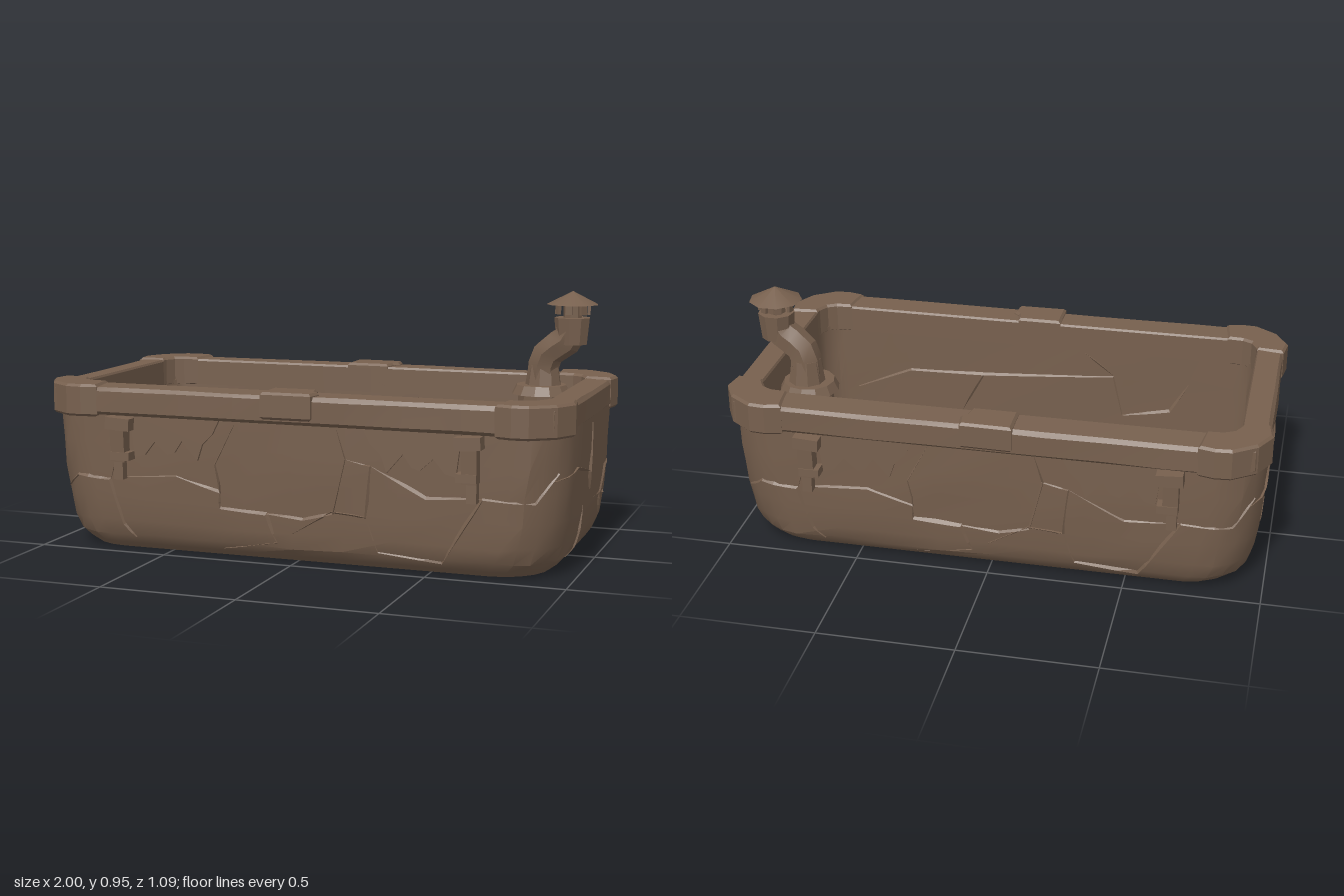
import * as THREE from 'three';
import { mergeGeometries, toCreasedNormals } from 'three/addons/utils/BufferGeometryUtils.js';

const stone = new THREE.MeshStandardMaterial({ color: 0x77604e, side: THREE.DoubleSide });
stone.name = 'brown stone';

// Outer wall profile: height, half width, half depth, corner radius
const WALL = [
  [0, 0.885, 0.41, 0.18], [0.022, 0.913, 0.438, 0.2], [0.055, 0.938, 0.46, 0.2], [0.11, 0.957, 0.473, 0.2],
  [0.2, 0.968, 0.48, 0.19], [0.3, 0.974, 0.485, 0.18], [0.4, 0.979, 0.488, 0.17], [0.53, 0.982, 0.491, 0.16],
];
// Inner half width, half depth and floor height
const IN_X = 0.887, IN_Z = 0.402, FLOOR = 0.05;

function seeded(seed) {
  return () => {
    seed = (seed * 16807) % 2147483647;
    return seed / 2147483647 - 0.5;
  };
}

function mesh(parent, name, geometry, x = 0, y = 0, z = 0) {
  const m = new THREE.Mesh(geometry, stone);
  m.name = name;
  m.position.set(x, y, z);
  parent.add(m);
  return m;
}

// Points of a rounded rectangle, with extra points along the straight sides
function ring(y, hx, hz, r, cornerSegs = 5) {
  const corners = [];
  [[1, 1], [-1, 1], [-1, -1], [1, -1]].forEach(([sx, sz], q) => {
    for (let i = 0; i <= cornerSegs; i++) {
      const a = (q + i / cornerSegs) * Math.PI / 2;
      corners.push(new THREE.Vector3(sx * (hx - r) + r * Math.cos(a), y, sz * (hz - r) + r * Math.sin(a)));
    }
  });
  const out = [];
  corners.forEach((p, i) => {
    out.push(p);
    if (i % (cornerSegs + 1) !== cornerSegs) return;
    const n = Math.floor(i / (cornerSegs + 1)) % 2 === 0 ? 8 : 4;
    const next = corners[(i + 1) % corners.length];
    for (let k = 1; k < n; k++) out.push(p.clone().lerp(next, k / n));
  });
  return out;
}

// Skin over a list of rings, lightly roughened
function loft(rings, rough, seed, crease) {
  const rnd = seeded(seed), pos = [], idx = [], n = rings[0].length;
  rings.forEach((pts, j) => pts.forEach((p, i) => {
    const k = rough(j), i2 = (i + 1) % n, a = (j - 1) * n, b = j * n;
    pos.push(p.x + rnd() * k, p.y + rnd() * k, p.z + rnd() * k);
    if (j > 0) idx.push(a + i, b + i, a + i2, a + i2, b + i, b + i2);
  }));
  const g = new THREE.BufferGeometry();
  g.setAttribute('position', new THREE.Float32BufferAttribute(pos, 3));
  g.setIndex(idx);
  return toCreasedNormals(g, crease);
}

function wallAt(y) {
  let i = 1;
  while (i < WALL.length - 1 && WALL[i][0] < y) i++;
  const a = WALL[i - 1], b = WALL[i], t = (y - a[0]) / (b[0] - a[0]);
  return a.map((v, k) => v + (b[k] - v) * t);
}
function bulge(u, h, flat, r) {
  const d = Math.max(0, Math.abs(u) - (h - r));
  return flat - r + Math.sqrt(Math.max(0, r * r - d * d));
}
const longSide = s => (u, y) => {
  const [, hx, hz, r] = wallAt(y);
  return new THREE.Vector3(u * s, y, s * bulge(u, hx, hz, r));
};
const endSide = s => (u, y) => {
  const [, hx, hz, r] = wallAt(y);
  return new THREE.Vector3(s * bulge(u, hz, hx, r), y, u * s);
};

// Thin broken ridge along a path drawn on a surface; face 1 looks outward, -1 inward
function crack(surface, path, face) {
  const pts = [];
  for (let i = 0; i < path.length - 1; i++) for (let k = 0; k < 3; k++) {
    const t = k / 3;
    pts.push([0, 1].map(c => path[i][c] * (1 - t) + path[i + 1][c] * t));
  }
  pts.push(path[path.length - 1]);
  const P = pts.map(p => surface(...p));
  const sections = P.map((p, i) => {
    const [u, v] = pts[i], e = 0.004;
    const n = surface(u + e, v).sub(p).cross(surface(u, v + e).sub(p)).normalize();
    if (n.dot(p) * face < 0) n.negate();
    const d = P[Math.min(i + 1, P.length - 1)].clone().sub(P[Math.max(i - 1, 0)]);
    const taper = 0.35 + 0.65 * Math.sin(Math.PI * i / (P.length - 1));
    const s = d.cross(n).normalize().multiplyScalar(0.009 * taper);
    return [
      p.clone().sub(s).addScaledVector(n, -0.006),
      p.clone().addScaledVector(s, 0.7).addScaledVector(n, 0.008 * taper),
      p.clone().add(s).addScaledVector(n, -0.006),
    ];
  });
  const tris = [];
  for (let i = 1; i < sections.length; i++) for (let k = 0; k < 2; k++) {
    const a = sections[i - 1], b = sections[i];
    tris.push(a[k], b[k], a[k + 1], a[k + 1], b[k], b[k + 1]);
  }
  const g = new THREE.BufferGeometry().setFromPoints(tris);
  g.computeVertexNormals();
  return g;
}

// Upright slab with a plan outline given as x, z
function slab(points, y0, y1, bevel) {
  const shape = new THREE.Shape(points.map(([x, z]) => new THREE.Vector2(x, -z)));
  const g = new THREE.ExtrudeGeometry(shape, {
    depth: y1 - y0 - 2 * bevel, bevelEnabled: true, bevelThickness: bevel, bevelSize: bevel, bevelOffset: -bevel, bevelSegments: 1,
  });
  return g.rotateX(-Math.PI / 2).translate(0, y0 + bevel, 0);
}

export function createModel() {
  const tub = new THREE.Group();
  tub.name = 'stoneTub';

  // Basin: outer wall, upright inner wall and floor, with a flat underside
  const inner = [0.53, 0.4, 0.27, 0.15, FLOOR].map(y => ring(y, IN_X, IN_Z, 0.09));
  const basin = [...WALL.map(w => ring(...w)), ...inner, ring(FLOOR, 0, 0, 0)];
  mesh(tub, 'basin', loft(basin, j => (j > 1 && j < 7 ? 0.01 : j > 8 && j < 12 ? 0.006 : 0), 77, 0.5));
  mesh(tub, 'underside', loft([ring(0, 0, 0, 0), ring(...WALL[0])], () => 0, 1, 0.5));

  // Rim
  const rim = [[0.512, 0.885, 0.4, 0.07], [0.512, 0.97, 0.51, 0.13], [0.525, 0.986, 0.525, 0.14], [0.6, 0.986, 0.525, 0.14],
    [0.615, 0.975, 0.515, 0.13], [0.617, 0.89, 0.405, 0.075], [0.609, 0.885, 0.4, 0.07], [0.512, 0.885, 0.4, 0.07]];
  mesh(tub, 'rim', loft(rim.map(r => ring(...r, 2)), j => (j > 1 && j < 5 ? 0.004 : 0), 5, 0.35));

  // Corner caps
  const cap = [[0.988, 0.31], [1, 0.39], [0.955, 0.475], [0.87, 0.535], [0.81, 0.54], [0.75, 0.525],
    [0.765, 0.4], [0.825, 0.396], [0.86, 0.378], [0.881, 0.34], [0.885, 0.32]];
  for (const sx of [1, -1]) for (const sz of [1, -1])
    mesh(tub, 'cornerCap', slab(cap.map(([x, z]) => [x * sx, z * sz]), 0.505, 0.624, 0.009));

  // Middle clamps, latches and ragged drips on both long sides
  for (const s of [1, -1]) {
    const clamp = [[-0.1, 0.4], [0.07, 0.4], [0.08, 0.45], [0.1, 0.47], [0.09, 0.535], [-0.1, 0.538]];
    mesh(tub, 'rimClamp', slab(clamp.map(([x, z]) => [x, z * s]), 0.53, 0.628, 0.009));
    for (const m of [1, -1]) {
      const latch = new THREE.Group();
      latch.name = 'latch';
      latch.position.set(0.66 * m, 0, 0.5 * s);
      tub.add(latch);
      mesh(latch, 'latchPlate', new THREE.BoxGeometry(0.095, 0.045, 0.09), 0, 0.485, 0.002 * s).rotation.z = 0.06 * m;
      mesh(latch, 'latchBar', new THREE.BoxGeometry(0.055, 0.13, 0.07), 0.005 * m, 0.41, 0.002 * s).rotation.x = 0.06 * s;
      mesh(latch, 'latchHook', new THREE.BoxGeometry(0.075, 0.03, 0.07), -0.005 * m, 0.365, 0.004 * s);
      mesh(latch, 'latchTongue', new THREE.BoxGeometry(0.036, 0.09, 0.05), 0.01 * m, 0.32, -0.006 * s);
      const edge = [[0.63, 0.52], [0.61, 0.36], [0.57, 0.37], [0.53, 0.42], [0.48, 0.375], [0.45, 0.385], [0.42, 0.43],
        [0.36, 0.36], [0.34, 0.42], [0.3, 0.46], [0.27, 0.52]];
      const drip = new THREE.ExtrudeGeometry(new THREE.Shape(edge.map(([x, y]) => new THREE.Vector2(x * m, y))),
        { depth: 0.03, bevelEnabled: false });
      mesh(tub, 'drip', drip, 0, 0, s > 0 ? 0.472 : -0.502);
    }
  }

  // Cracks in the walls, inside and out, and in the floor
  const longCracks = [
    [[-0.97, 0.19], [-0.86, 0.28], [-0.72, 0.27], [-0.67, 0.1], [-0.63, 0.05]], [[-0.72, 0.27], [-0.68, 0.42], [-0.72, 0.5]],
    [[-0.67, 0.28], [-0.45, 0.3], [-0.28, 0.25], [-0.3, 0.35], [-0.22, 0.5]],
    [[-0.28, 0.25], [-0.28, 0.19], [-0.1, 0.18], [-0.06, 0.07], [-0.28, 0.03]],
    [[-0.1, 0.18], [0.04, 0.17], [0.15, 0.2], [0.2, 0.4], [0.17, 0.5]],
    [[0.2, 0.4], [0.3, 0.38], [0.28, 0.19], [0.15, 0.2], [0, 0.11]], [[0.3, 0.38], [0.5, 0.28], [0.7, 0.29]],
    [[0.28, 0.19], [0.32, 0.07], [0.55, 0.05], [0.63, 0.18], [0.7, 0.29], [0.88, 0.28], [0.95, 0.38]],
  ];
  const innerCracks = [
    [[-0.75, 0.26], [-0.52, 0.36], [-0.21, 0.37], [0.05, 0.39], [0.32, 0.41], [0.36, 0.24]], [[-0.21, 0.37], [-0.3, 0.2]],
    [[0.32, 0.41], [0.2, 0.5]], [[0.36, 0.24], [0.55, 0.28], [0.62, 0.4]],
  ];
  const endCracks = [
    [[0, 0.5], [0, 0.32], [-0.02, 0.25]], [[0, 0.32], [0.25, 0.37], [0.42, 0.35]],
    [[-0.09, 0.21], [-0.21, 0.21], [-0.27, 0.3], [-0.35, 0.31]], [[-0.21, 0.21], [-0.25, 0.12]],
    [[0.09, 0.21], [0.1, 0.08], [0.11, 0.02]],
  ];
  const floorCracks = [
    [[-0.51, -0.39], [-0.51, -0.2], [-0.34, -0.21]], [[0.03, -0.1], [0.3, -0.16], [0.31, 0.08]],
    [[-0.3, 0.12], [0.13, 0.14], [0.4, 0.13]], [[0.13, 0.14], [0.12, 0.32]], [[-0.52, 0.12], [-0.5, 0.34]],
    [[0.57, 0.36], [0.57, 0.12], [0.75, 0.13]],
  ];
  const cracks = (name, list, surface, face) =>
    mesh(tub, name, mergeGeometries(list.map(path => crack(surface, path, face))));
  for (const s of [1, -1]) {
    cracks(s > 0 ? 'frontCracks' : 'backCracks', longCracks, longSide(s), 1);
    cracks(s > 0 ? 'leftCracks' : 'rightCracks', endCracks, endSide(s), 1);
    cracks('innerCracks', innerCracks, (u, y) => new THREE.Vector3(-u * s, y, s * IN_Z), -1);
  }
  cracks('floorCracks', floorCracks, (x, z) => new THREE.Vector3(x, FLOOR, z), 1);

  // Stove column inside the basin, with a collar
  const facet = g => toCreasedNormals(g, 0.4);
  mesh(tub, 'stoveColumn', facet(new THREE.CylinderGeometry(0.092, 0.1, 0.53, 10)), 0.74, 0.31, -0.24);
  mesh(tub, 'stoveCollar', facet(new THREE.CylinderGeometry(0.095, 0.112, 0.035, 12)), 0.735, 0.58, -0.24);

  // Crooked chimney
  const bend = new THREE.CatmullRomCurve3([[0.74, 0.59, -0.245], [0.742, 0.67, -0.242], [0.765, 0.725, -0.235],
    [0.825, 0.765, -0.228], [0.85, 0.8, -0.225], [0.852, 0.85, -0.225]].map(p => new THREE.Vector3(...p)));
  mesh(tub, 'chimneyPipe', facet(new THREE.TubeGeometry(bend, 7, 0.06, 7)));
  mesh(tub, 'chimneyFoot', facet(new THREE.CylinderGeometry(0.055, 0.07, 0.1, 9)), 0.742, 0.635, -0.245);
  mesh(tub, 'chimneyMouth', facet(new THREE.CylinderGeometry(0.068, 0.058, 0.1, 9)), 0.853, 0.806, -0.225);
  mesh(tub, 'chimneyNeck', facet(new THREE.CylinderGeometry(0.035, 0.035, 0.06, 8)), 0.853, 0.88, -0.225);
  for (let i = 0; i < 7; i++) {
    const a = i / 7 * Math.PI * 2;
    const tab = mesh(tub, 'hoodTab', new THREE.BoxGeometry(0.025, 0.036 + (i % 3) * 0.004, 0.012),
      0.853 + Math.sin(a) * 0.06, 0.888, -0.225 + Math.cos(a) * 0.06);
    tab.rotation.y = a;
  }
  mesh(tub, 'chimneyHood', facet(new THREE.ConeGeometry(0.098, 0.05, 9)), 0.853, 0.93, -0.225);
  return tub;
}
